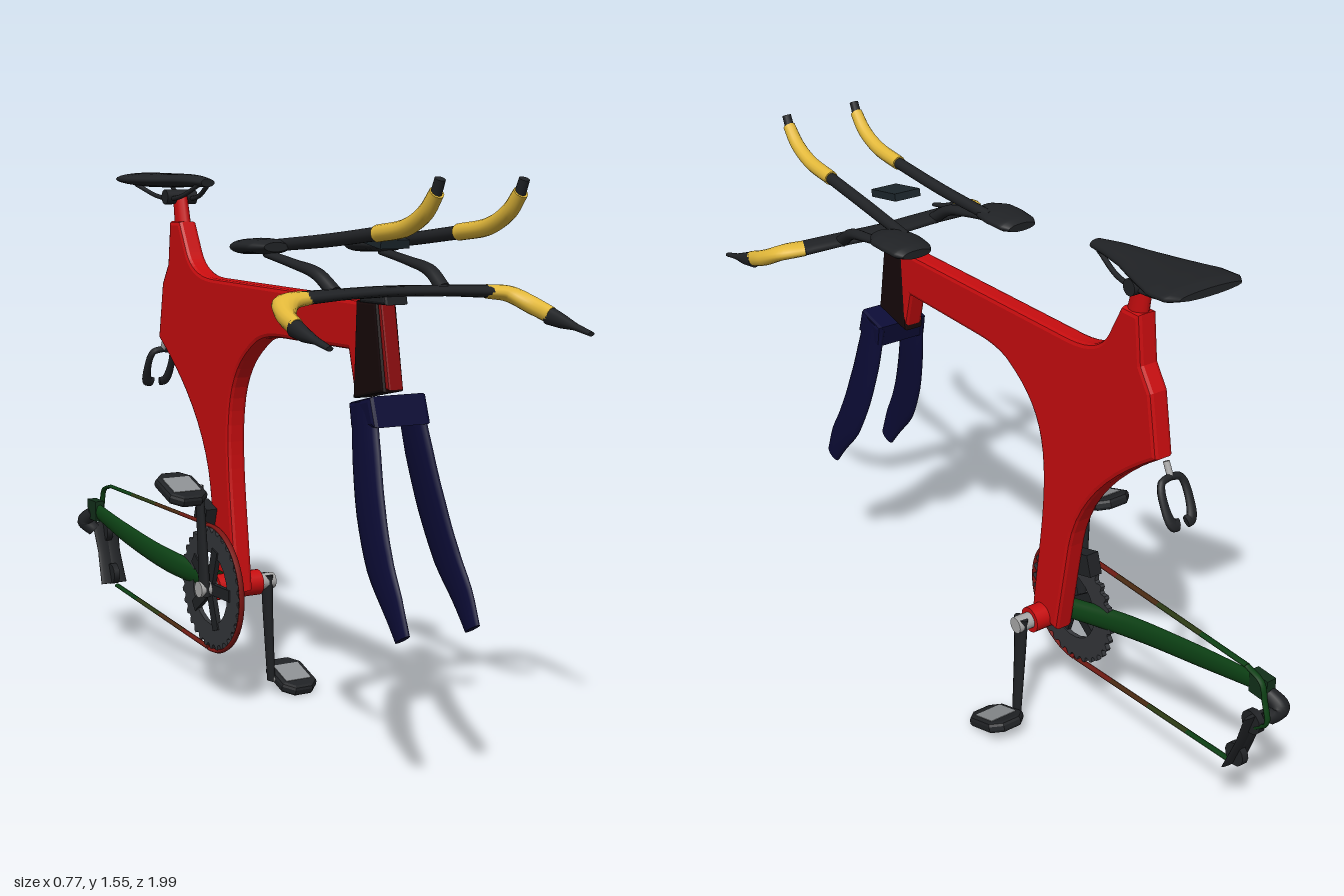
import * as THREE from 'three';

const RED = 0xc80d0f, DARK = 0x202225, NAVY = 0x0c0c36, GREEN = 0x0c4014, GOLD = 0xe2b83a, STEEL = 0xa8a8a8;

export function createModel() {
  const root = new THREE.Group();

  const add = (name, geometry, color, parent = root) => {
    const mesh = new THREE.Mesh(geometry, new THREE.MeshStandardMaterial({ color }));
    mesh.name = name;
    parent.add(mesh);
    return mesh;
  };

  // Elliptical sweep through stations [x, y, z, radiusA, radiusB]; ref fixes the section's roll
  const sweep = (stations, { ref = [0, 1, 0], steps = 20, sides = 14 } = {}) => {
    const curve = new THREE.CatmullRomCurve3(stations.map(s => new THREE.Vector3(s[0], s[1], s[2])));
    const up = new THREE.Vector3(...ref), pos = [], idx = [];
    const ring = (t, k) => {
      const f = t * (stations.length - 1), i = Math.min(Math.floor(f), stations.length - 2), w = f - i;
      const mix = c => k * THREE.MathUtils.lerp(stations[i][c], stations[i + 1][c], w);
      const p = curve.getPoint(t), d = curve.getTangent(t);
      const a = up.clone().cross(d).normalize(), b = d.clone().cross(a);
      for (let j = 0; j < sides; j++) {
        const q = (j / sides) * Math.PI * 2;
        const v = p.clone().addScaledVector(a, mix(3) * Math.cos(q)).addScaledVector(b, mix(4) * Math.sin(q));
        pos.push(v.x, v.y, v.z);
      }
    };
    ring(0, 0); ring(0, 1);
    for (let i = 0; i <= steps; i++) ring(i / steps, 1);
    ring(1, 1); ring(1, 0);
    for (let i = 0; i < steps + 4; i++) for (let j = 0; j < sides; j++) {
      const a = i * sides + j, b = i * sides + (j + 1) % sides;
      idx.push(a, b, a + sides, b, b + sides, a + sides);
    }
    const g = new THREE.BufferGeometry();
    g.setAttribute('position', new THREE.Float32BufferAttribute(pos, 3));
    g.setIndex(idx);
    g.computeVertexNormals();
    return g;
  };

  // Side-profile plate: shape in (z, y), thickness along x, centred on x
  const plate = (shape, x, width, bevel = 0) => new THREE.ExtrudeGeometry(shape, {
    depth: width - 2 * bevel, bevelEnabled: bevel > 0, bevelSize: bevel, bevelThickness: bevel,
    bevelOffset: -bevel, bevelSegments: 2, curveSegments: 10,
  }).translate(0, 0, -(width - 2 * bevel) / 2).rotateY(-Math.PI / 2).translate(x, 0, 0);
  const poly = pts => new THREE.Shape(pts.map(p => new THREE.Vector2(...p)));
  const axle = (r, x0, x1, y, z, n = 20) =>
    new THREE.CylinderGeometry(r, r, x1 - x0, n).rotateZ(Math.PI / 2).translate((x0 + x1) / 2, y, z);

  // Frame: one flowing profile from head to seat tube to bottom bracket
  const f = new THREE.Shape();
  f.moveTo(0.53, 1.235);
  f.lineTo(-0.28, 1.25);
  f.bezierCurveTo(-0.4, 1.255, -0.43, 1.3, -0.445, 1.33);
  f.lineTo(-0.487, 1.41);
  f.lineTo(-0.555, 1.41);
  f.lineTo(-0.57, 1.28);
  f.lineTo(-0.61, 1.22);
  f.lineTo(-0.64, 1.05);
  f.bezierCurveTo(-0.46, 0.93, -0.33, 0.79, -0.3, 0.63);
  f.lineTo(-0.25, 0.33);
  f.lineTo(-0.135, 0.34);
  f.bezierCurveTo(-0.15, 0.5, -0.18, 0.65, -0.18, 0.78);
  f.bezierCurveTo(-0.18, 0.95, -0.13, 1.02, -0.01, 1.085);
  f.bezierCurveTo(0.04, 1.107, 0.1, 1.107, 0.14, 1.107);
  f.lineTo(0.47, 1.107);
  f.lineTo(0.5, 1.0);
  f.lineTo(0.56, 1.0);
  add('frame', plate(f, 0, 0.06, 0.012), RED);
  add('headTube', plate(poly([[0.6, 1.235], [0.51, 1.235], [0.5, 0.985], [0.64, 1.015]]), 0, 0.064, 0.008), 0x160809);
  add('headTubeFront', plate(poly([[0.61, 1.235], [0.585, 1.235], [0.62, 1.02], [0.652, 1.02]]), 0, 0.045, 0.006), 0x8a0c0e);
  add('seatPost', sweep([[0, 1.38, -0.515, 0.024, 0.035], [0, 1.48, -0.535, 0.02, 0.028]], { ref: [0, 0, 1] }), RED);
  add('bottomBracket', axle(0.038, -0.07, 0.075, 0.35, -0.187), RED);

  // Saddle with its rails
  add('saddle', sweep([
    [0, 1.525, -0.353, 0.022, 0.012], [0, 1.53, -0.42, 0.036, 0.017], [0, 1.532, -0.5, 0.055, 0.02],
    [0, 1.532, -0.59, 0.088, 0.021], [0, 1.534, -0.68, 0.12, 0.022], [0, 1.537, -0.74, 0.12, 0.02],
    [0, 1.54, -0.772, 0.095, 0.01]], { steps: 30, sides: 24 }), DARK);
  for (const s of [-1, 1]) add('saddleRail', sweep([
    [s * 0.015, 1.52, -0.38, 0.007, 0.007], [s * 0.03, 1.483, -0.48, 0.007, 0.007],
    [s * 0.035, 1.483, -0.61, 0.007, 0.007], [s * 0.06, 1.52, -0.72, 0.007, 0.007]], { sides: 8 }), DARK);
  add('railClamp', axle(0.022, -0.05, 0.05, 1.483, -0.54), DARK);

  // Fork: crown and two blades sweeping forward
  add('forkCrown', plate(poly([[0.66, 1.01], [0.56, 0.985], [0.572, 0.92], [0.685, 0.935]]), 0, 0.17, 0.012), NAVY);
  for (const s of [-1, 1]) add('forkBlade', sweep([
    [s * 0.067, 0.99, 0.61, 0.018, 0.052], [s * 0.078, 0.86, 0.64, 0.018, 0.06], [s * 0.09, 0.73, 0.68, 0.016, 0.062],
    [s * 0.099, 0.61, 0.735, 0.014, 0.058], [s * 0.103, 0.52, 0.8, 0.013, 0.045],
    [s * 0.103, 0.445, 0.845, 0.012, 0.03]], { ref: [0, 0, 1] }), NAVY);

  // Base bar, grips, levers, arm rests and extensions
  add('stem', plate(poly([[0.64, 1.275], [0.53, 1.26], [0.53, 1.23], [0.65, 1.23]]), 0, 0.07, 0.008), DARK);
  add('baseBar', sweep([
    [-0.28, 1.255, 0.65, 0.04, 0.017], [-0.15, 1.26, 0.635, 0.042, 0.014], [0, 1.262, 0.62, 0.045, 0.014],
    [0.15, 1.26, 0.635, 0.042, 0.014], [0.28, 1.255, 0.65, 0.04, 0.017]]), DARK);
  for (const s of [-1, 1]) {
    const side = new THREE.Group();
    side.name = s > 0 ? 'leftControls' : 'rightControls';
    root.add(side);
    add('grip', sweep([
      [s * 0.27, 1.255, 0.648, 0.04, 0.018], [s * 0.325, 1.248, 0.672, 0.036, 0.021],
      [s * 0.357, 1.222, 0.725, 0.024, 0.023], [s * 0.367, 1.2, 0.79, 0.018, 0.022]]), GOLD, side);
    add('brakeLever', sweep([
      [s * 0.367, 1.2, 0.78, 0.019, 0.024], [s * 0.37, 1.188, 0.83, 0.016, 0.018],
      [s * 0.37, 1.178, 0.88, 0.011, 0.009], [s * 0.37, 1.165, 0.94, 0.009, 0.006]]), DARK, side);
    add('armRestBracket', sweep([
      [s * 0.16, 1.262, 0.62, 0.02, 0.018], [s * 0.167, 1.305, 0.55, 0.019, 0.016],
      [s * 0.172, 1.325, 0.45, 0.018, 0.012], [s * 0.175, 1.345, 0.32, 0.017, 0.01]]), DARK, side);
    add('armRest', sweep([
      [s * 0.175, 1.36, 0.195, 0.045, 0.012], [s * 0.175, 1.362, 0.22, 0.06, 0.02], [s * 0.175, 1.365, 0.28, 0.066, 0.021],
      [s * 0.178, 1.365, 0.33, 0.062, 0.02], [s * 0.18, 1.365, 0.37, 0.035, 0.012]], { sides: 20 }), DARK, side);
    add('extension', sweep([
      [s * 0.14, 1.367, 0.3, 0.016, 0.016], [s * 0.125, 1.385, 0.52, 0.017, 0.017],
      [s * 0.117, 1.408, 0.745, 0.017, 0.017]]), DARK, side);
    add('extensionGrip', sweep([
      [s * 0.117, 1.408, 0.74, 0.021, 0.021], [s * 0.117, 1.425, 0.86, 0.021, 0.021],
      [s * 0.117, 1.46, 0.935, 0.02, 0.02], [s * 0.117, 1.505, 0.978, 0.018, 0.018]]), GOLD, side);
    add('extensionTip', sweep([
      [s * 0.117, 1.5, 0.974, 0.014, 0.014], [s * 0.117, 1.535, 0.99, 0.013, 0.013]]), DARK, side);
  }
  const unit = add('displayUnit', new THREE.BoxGeometry(0.085, 0.022, 0.13), 0x1c262c);
  unit.position.set(0, 1.388, 0.575);
  unit.rotation.x = 0.17;

  // Rear brake: open loop hanging behind the seat tube
  const brake = new THREE.Group();
  brake.name = 'rearBrake';
  brake.position.set(0, 0.96, -0.69);
  brake.rotation.x = 0.46;
  root.add(brake);
  add('brakeBolt', new THREE.CylinderGeometry(0.009, 0.009, 0.04, 10).translate(0, 0.075, 0), STEEL, brake);
  for (const s of [-1, 1]) add('brakeArm', sweep([
    [0, 0.055, 0, 0.01, 0.01], [s * 0.032, 0.045, 0, 0.01, 0.01], [s * 0.04, -0.02, 0, 0.013, 0.009],
    [s * 0.03, -0.062, 0, 0.017, 0.009], [s * 0.012, -0.066, 0, 0.016, 0.008]], { ref: [0, 0, 1], sides: 8 }), DARK, brake);

  // Chainring with teeth, open centre and spider arms
  const cz = -0.187, cy = 0.35, ringPts = [], teeth = 32;
  for (let i = 0; i < teeth * 4; i++) {
    const a = (i / (teeth * 4)) * Math.PI * 2, r = i % 4 < 2 ? 0.182 : 0.169;
    ringPts.push([cz + r * Math.cos(a), cy + r * Math.sin(a)]);
  }
  const ring = poly(ringPts);
  ring.holes.push(new THREE.Path().absarc(cz, cy, 0.108, 0, Math.PI * 2, true));
  add('chainring', plate(ring, -0.08, 0.014), 0x34363a);
  for (let i = 0; i < 5; i++) {
    const arm = new THREE.BoxGeometry(0.014, 0.12, 0.034).translate(0, 0.065, 0)
      .rotateX((i / 5) * Math.PI * 2 + 0.3).translate(-0.084, cy, cz);
    add('chainringArm', arm, DARK);
  }

  // Cranks and pedals, half a turn apart
  add('crankAxle', axle(0.024, -0.125, 0.125, cy, cz), STEEL);
  const octagon = (w, l, c) => poly([[-w, c - l], [c - w, -l], [w - c, -l], [w, c - l], [w, l - c], [w - c, l], [c - w, l], [-w, l - c]]);
  for (const s of [-1, 1]) {
    const py = cy - s * 0.305;
    add('crankArm', sweep([
      [s * 0.105, cy + s * 0.02, cz, 0.015, 0.026], [s * 0.108, cy - s * 0.08, cz, 0.014, 0.022],
      [s * 0.12, py - s * 0.005, cz, 0.011, 0.016]], { ref: [0, 0, 1] }), DARK);
    const pedal = new THREE.Group();
    pedal.name = 'pedal';
    pedal.position.set(s * 0.184, py, cz + 0.01);
    pedal.rotation.x = 0.33;
    root.add(pedal);
    add('pedalBody', new THREE.ExtrudeGeometry(octagon(0.048, 0.07, 0.024), {
      depth: 0.012, bevelEnabled: true, bevelSize: 0.012, bevelThickness: 0.01, bevelSegments: 2,
    }).translate(0, 0, -0.006).rotateX(-Math.PI / 2), DARK, pedal);
    add('pedalPlate', new THREE.BoxGeometry(0.085, 0.035, 0.085), 0x8c8f92, pedal);
    add('pedalAxle', axle(0.009, -0.065, 0.03, 0, 0, 10).scale(s, 1, 1).rotateX(s < 0 ? Math.PI : 0), STEEL, pedal)
      .material.side = THREE.DoubleSide;
  }

  // Single chainstay with dropout block
  add('chainstay', sweep([
    [-0.045, 0.36, -0.21, 0.022, 0.034], [-0.1, 0.385, -0.42, 0.018, 0.036],
    [-0.125, 0.425, -0.68, 0.016, 0.032], [-0.132, 0.465, -0.9, 0.014, 0.024]]), GREEN);
  add('dropout', new THREE.BoxGeometry(0.03, 0.065, 0.065).translate(-0.132, 0.465, -0.91), 0x12301a);

  // Chain: wraps the ring, fading from red to green toward the rear
  const chain = (pts, color) => add('chain', sweep(pts.map(([z, y]) => [-0.082, y, z, 0.006, 0.009]),
    { ref: [1, 0, 0], steps: 28, sides: 6 }), color);
  const wrap = [];
  for (let i = 0; i <= 16; i++) {
    const a = THREE.MathUtils.degToRad(98 - i * 12);
    wrap.push([cz + 0.187 * Math.cos(a), cy + 0.187 * Math.sin(a)]);
  }
  chain(wrap, 0x7c1512);
  const fade = [0x6e1a12, 0x4a2a12, 0x2c3a14, GREEN];
  fade.forEach((color, i) => {
    const at = (k, z, y0, y1) => [THREE.MathUtils.lerp(cz - 0.02, z, k / 4), THREE.MathUtils.lerp(y0, y1, k / 4)];
    chain([at(i, -0.9, 0.537, 0.54), at(i + 1, -0.9, 0.537, 0.54)], color);
    chain([at(i, -0.86, 0.165, 0.215), at(i + 1, -0.86, 0.165, 0.215)], color);
  });
  chain([[-0.9, 0.54], [-0.955, 0.52], [-0.972, 0.47], [-0.985, 0.41], [-0.95, 0.375]], GREEN);

  // Derailleurs
  add('frontDerailleur', new THREE.BoxGeometry(0.04, 0.065, 0.07).rotateX(0.3).translate(-0.045, 0.55, -0.29), DARK);
  add('rearDerailleurBody', sweep([
    [-0.132, 0.455, -0.93, 0.02, 0.02], [-0.145, 0.42, -0.965, 0.026, 0.028], [-0.12, 0.39, -0.95, 0.022, 0.024]],
    { ref: [1, 0, 0] }), DARK);
  for (const x of [-0.1, -0.07]) add('rearDerailleurCage', sweep([
    [x, 0.415, -0.945, 0.03, 0.005], [x, 0.32, -0.915, 0.024, 0.005], [x, 0.22, -0.878, 0.03, 0.005]],
    { ref: [1, 0, 0].map((v, i) => [0, 0, 1][i]) }), DARK);
  for (const [y, z] of [[0.385, -0.935], [0.25, -0.885]]) add('pulley', axle(0.034, -0.095, -0.075, y, z, 12), DARK);

  return root;
}
